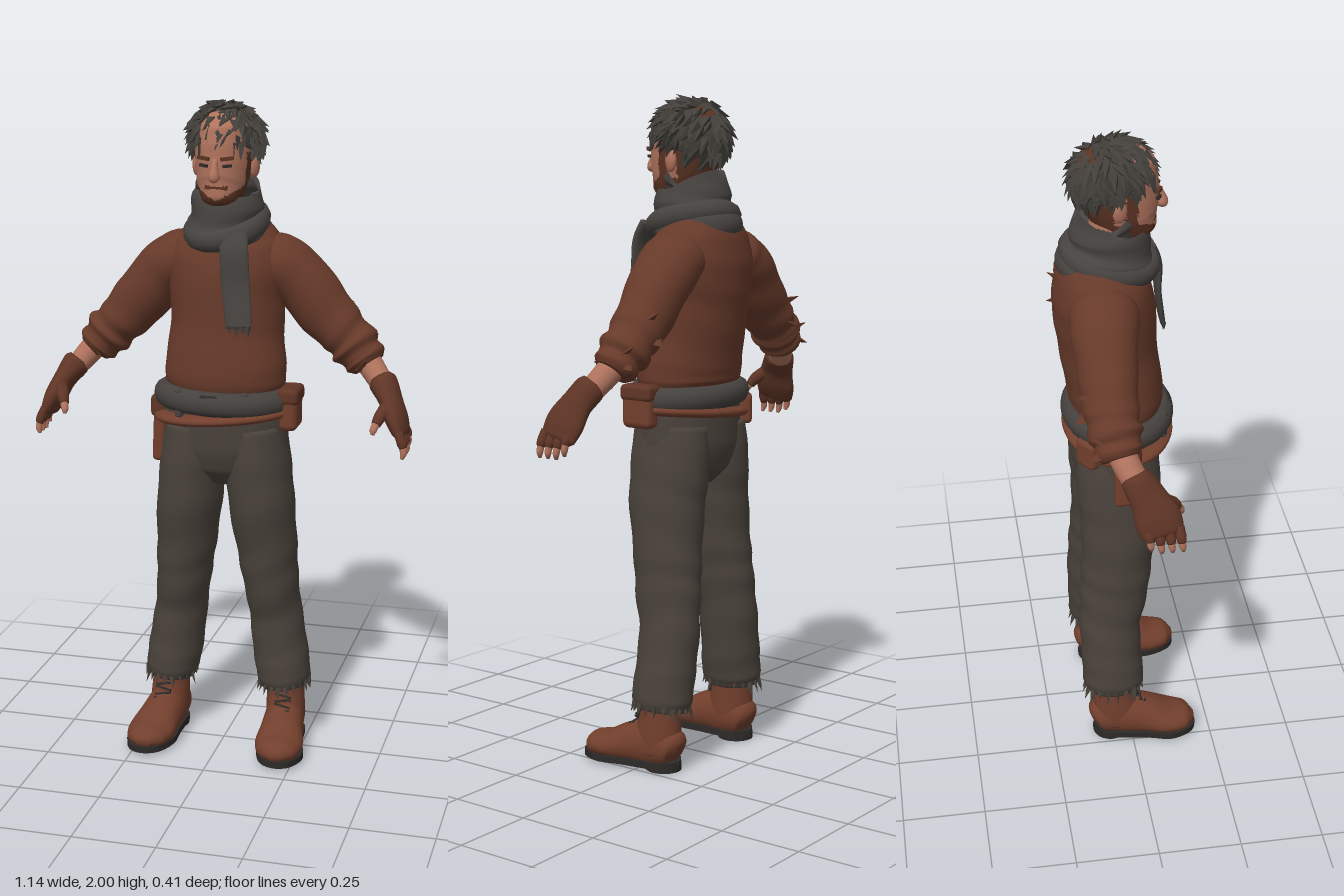
import * as THREE from 'three';
import { mergeGeometries } from 'three/addons/utils/BufferGeometryUtils.js';
import { RoundedBoxGeometry } from 'three/addons/geometries/RoundedBoxGeometry.js';

const V = (x, y, z) => new THREE.Vector3(x, y, z);
const paint = (name, color) => Object.assign(new THREE.MeshStandardMaterial({ color }), { name });

// small seeded random
let seed = 7;
const rnd = () => (seed = (seed * 16807) % 2147483647) / 2147483647;

// Smooth body through sections [x, y, z, radiusA, radiusB]; radiusB lies along ref.
function loft(sections, { ref = V(0, 0, 1), seg = 28, steps = 32, fold = 0, waves = 6, rule, isSecond } = {}) {
  const path = new THREE.CatmullRomCurve3(sections.map(s => V(s[0], s[1], s[2])));
  const size = new THREE.CatmullRomCurve3(sections.map(s => V(s[3], s[4], 0)));
  const pos = [], faces = [[], []];
  const put = p => { if (rule) rule(p); pos.push(p.x, p.y, p.z); };
  for (let i = 0; i <= steps; i++) {
    const u = i / steps, c = path.getPoint(u), t = path.getTangent(u), r = size.getPoint(u);
    const b = ref.clone().addScaledVector(t, -ref.dot(t)).normalize();
    const a = b.clone().cross(t);
    for (let j = 0; j < seg; j++) {
      const w = j / seg * Math.PI * 2;
      const k = 1 + fold * Math.sin(u * waves * 6.283 + 1.6 * Math.sin(w + u * 4)) * Math.sin(Math.PI * u);
      put(c.clone().addScaledVector(a, Math.cos(w) * r.x * k).addScaledVector(b, Math.sin(w) * r.y * k));
    }
  }
  const n = (steps + 1) * seg;
  put(path.getPoint(0)); put(path.getPoint(1));
  const tri = (...f) => {
    const m = [0, 1, 2].map(k => f.reduce((s, v) => s + pos[v * 3 + k], 0) / 3);
    faces[isSecond && isSecond(...m) ? 1 : 0].push(...f);
  };
  for (let j = 0; j < seg; j++) {
    const q = (j + 1) % seg, e = steps * seg;
    tri(n, q, j);
    tri(n + 1, e + j, e + q);
    for (let o = 0; o < e; o += seg) { tri(o + j, o + q, o + seg + j); tri(o + q, o + seg + q, o + seg + j); }
  }
  const g = new THREE.BufferGeometry();
  g.setAttribute('position', new THREE.Float32BufferAttribute(pos, 3));
  g.setIndex([...faces[0], ...faces[1]]);
  if (isSecond) { g.addGroup(0, faces[0].length, 0); g.addGroup(faces[0].length, faces[1].length, 1); }
  g.computeVertexNormals();
  return g;
}

// Flat-shaded pointed tuft, used for hair and torn cloth
function spike(p, dir, r, len) {
  const g = new THREE.ConeGeometry(r, len, 4).translate(0, len / 2, 0).scale(1, 1, 0.6);
  g.applyQuaternion(new THREE.Quaternion().setFromUnitVectors(V(0, 1, 0), dir.normalize()));
  const f = g.translate(p.x, p.y, p.z).toNonIndexed();
  f.computeVertexNormals();
  return f;
}

export function createModel() {
  const root = new THREE.Group();
  const skin = paint('skin', 0xb0735d), beardMat = paint('beard', 0x5c3323), hairMat = paint('hair', 0x43403b);
  const wool = paint('sweater wool', 0x673a2a), scarfMat = paint('scarf cloth', 0x474340), cloth = paint('trouser cloth', 0x4a423b);
  const leather = paint('boot leather', 0x723f2d), gloveMat = paint('glove leather', 0x5f3526);
  const beltMat = paint('belt', 0x45413e), dark = paint('dark rubber', 0x2d2a28);
  const add = (name, geo, mat, parent = root) => {
    const m = new THREE.Mesh(geo, mat);
    m.name = name; parent.add(m);
    return m;
  };
  const block = (name, w, h, d, x, y, z, mat, r = 0.01) => {
    const m = add(name, new RoundedBoxGeometry(w, h, d, 2, r), mat);
    m.position.set(x, y, z);
    return m;
  };

  // Head with beard and cropped nape
  add('head', loft([[0, 1.688, 0.045, 0.03, 0.035], [0, 1.705, 0.04, 0.054, 0.063], [0, 1.75, 0.018, 0.073, 0.092],
    [0, 1.8, 0, 0.081, 0.109], [0, 1.86, -0.015, 0.086, 0.118], [0, 1.92, -0.02, 0.084, 0.112],
    [0, 1.96, -0.02, 0.055, 0.075], [0, 1.972, -0.02, 0.01, 0.01]], {
    seg: 56, steps: 64,
    isSecond: (x, y, z) => {
      const ax = Math.abs(x);
      return z < -0.03 || y < 1.715 + ax * 0.55 || (ax > 0.066 && z < 0.035 && y < 1.85 && z > 0)
        || (z > 0.08 && ax < 0.035 && y > 1.748 && y < 1.758);
    },
  }), [skin, beardMat]);
  add('neck', loft([[0, 1.6, -0.05, 0.065, 0.07], [0, 1.66, -0.04, 0.06, 0.065], [0, 1.75, -0.02, 0.06, 0.07]]), skin);
  add('nose', loft([[0, 1.835, 0.1, 0.008, 0.008], [0, 1.81, 0.108, 0.011, 0.014], [0, 1.785, 0.112, 0.017, 0.02],
    [0, 1.774, 0.108, 0.01, 0.012]], { seg: 12, steps: 12 }), skin);
  for (const s of [1, -1]) {
    const ear = add('ear', new THREE.SphereGeometry(1, 14, 10), skin);
    ear.scale.set(0.013, 0.034, 0.022);
    ear.position.set(s * 0.087, 1.805, -0.018);
    ear.rotation.y = s * -0.3;
    for (const [name, y, w, h, z] of [['eye', 1.817, 0.026, 0.008, 0.1], ['eyebrow', 1.838, 0.038, 0.01, 0.1]]) {
      const m = add(name, new THREE.BoxGeometry(w, h, 0.009), name === 'eye' ? dark : beardMat);
      m.position.set(s * 0.035, y, z - (name === 'eye' ? 0.001 : 0));
      m.rotation.set(0, s * 0.42, s * 0.08);
    }
  }

  // Hair cap leaning back, covered in overlapping tufts
  const hair = new THREE.Group();
  hair.name = 'hair';
  hair.position.set(0, 1.877, -0.03);
  hair.rotation.x = -0.35;
  root.add(hair);
  const cap = new THREE.SphereGeometry(1, 32, 20, 0, Math.PI * 2, 0, Math.PI * 0.62).scale(0.1, 0.1, 0.114);
  const capMat = hairMat;
  capMat.side = THREE.DoubleSide;
  add('hairCap', cap, capMat, hair);
  const tufts = [];
  for (let i = 0; i < 150; i++) {
    const th = Math.acos(1 - 1.37 * (i + 0.5) / 150), f = i * 2.4 + rnd() * 0.3;
    const n = V(Math.sin(th) * Math.cos(f), Math.cos(th), Math.sin(th) * Math.sin(f));
    const down = V(Math.cos(th) * Math.cos(f), -Math.sin(th), Math.cos(th) * Math.sin(f));
    const side = V(-Math.sin(f), 0, Math.cos(f)).multiplyScalar(rnd() * 0.8 - 0.2);
    const p = n.clone().multiply(V(0.097, 0.097, 0.111));
    tufts.push(spike(p, n.multiplyScalar(0.4).add(down).add(side), 0.017 + rnd() * 0.008, 0.04 + rnd() * 0.02));
  }
  add('hairTufts', mergeGeometries(tufts), hairMat, hair);

  // Sweater body
  add('sweater', loft([[0, 1.14, -0.02, 0.172, 0.128], [0, 1.17, -0.02, 0.184, 0.14], [0, 1.22, -0.024, 0.183, 0.142],
    [0, 1.32, -0.04, 0.172, 0.142], [0, 1.42, -0.048, 0.174, 0.148], [0, 1.51, -0.058, 0.186, 0.146],
    [0, 1.58, -0.065, 0.165, 0.127], [0, 1.635, -0.06, 0.115, 0.1], [0, 1.67, -0.05, 0.07, 0.075]],
  { seg: 40, steps: 48, fold: 0.008 }), wool);

  // Scarf: rolled wrap, fold and hanging tail
  const wrap = add('scarfWrap', loft([[0, -0.085, 0.005, 0.1, 0.115], [0, -0.045, 0, 0.122, 0.143], [0, -0.01, 0, 0.118, 0.134],
    [0, 0.015, 0, 0.106, 0.118], [0, 0.045, -0.003, 0.108, 0.118], [0, 0.08, -0.008, 0.095, 0.102],
    [0, 0.075, -0.005, 0.08, 0.085], [0, 0.04, 0, 0.07, 0.075]], { seg: 40, steps: 48, fold: 0.03, waves: 3 }), scarfMat);
  wrap.position.set(0, 1.65, -0.04);
  wrap.rotation.x = 0.17;
  const roll = add('scarfFold', new THREE.TorusGeometry(0.105, 0.026, 10, 40), scarfMat);
  roll.scale.set(1, 1.15, 1.3);
  roll.position.set(0, 1.628, -0.035);
  roll.rotation.set(Math.PI / 2 + 0.25, 0.16, 0);
  add('scarfTail', loft([[0.05, 1.62, 0.085, 0.045, 0.02], [0.058, 1.57, 0.11, 0.043, 0.015], [0.064, 1.48, 0.115, 0.043, 0.01],
    [0.074, 1.4, 0.125, 0.041, 0.01], [0.078, 1.355, 0.133, 0.038, 0.008]], { seg: 20 }), scarfMat);
  add('scarfFringe', mergeGeometries([-0.026, -0.006, 0.012, 0.028].map((x, i) =>
    spike(V(0.078 + x, 1.362, 0.133), V(x * 0.4, -1, 0.05), 0.013, 0.026 + (i % 2) * 0.01))), scarfMat);

  // Trouser seat
  add('trouserSeat', loft([[0, 1.15, -0.02, 0.17, 0.12], [0, 1.06, -0.023, 0.19, 0.132], [0, 0.97, -0.026, 0.192, 0.13],
    [0, 0.9, -0.026, 0.15, 0.112], [0, 0.85, -0.025, 0.06, 0.07]], { seg: 36 }), cloth);

  // Belts, buckle, pouch and holster
  const band = (name, y, h, rx, rz, tilt, mat) => {
    const m = add(name, loft([[0, -h, 0, rx - 0.012, rz - 0.012], [0, -h * 0.9, 0, rx, rz], [0, h * 0.9, 0, rx, rz],
      [0, h, 0, rx - 0.012, rz - 0.012]], { seg: 44, steps: 18 }), mat);
    m.position.set(0, y, -0.015);
    m.rotation.z = tilt;
  };
  band('belt', 1.116, 0.037, 0.197, 0.147, -0.02, beltMat);
  band('hipStrap', 1.066, 0.016, 0.2, 0.145, 0.09, leather);
  block('buckle', 0.055, 0.062, 0.02, -0.012, 1.116, 0.133, dark, 0.006);
  block('buckleTongue', 0.03, 0.034, 0.024, -0.012, 1.116, 0.135, beltMat, 0.005);
  for (const x of [-0.11, 0.09]) block('beltLoop', 0.022, 0.084, 0.02, x, 1.112, 0.107, beltMat, 0.005).rotation.y = x * 4;
  block('pouch', 0.055, 0.125, 0.105, 0.207, 1.092, 0.005, leather, 0.02);
  block('pouchFlap', 0.064, 0.05, 0.112, 0.207, 1.135, 0.005, gloveMat, 0.016);
  block('holster', 0.04, 0.19, 0.075, -0.2, 0.995, -0.015, leather, 0.015).rotation.z = -0.04;
  block('holsterFlap', 0.05, 0.07, 0.085, -0.2, 1.075, -0.015, gloveMat, 0.015);
  block('rearPouch', 0.075, 0.09, 0.045, -0.15, 1.06, -0.12, leather, 0.015).rotation.y = 0.6;

  for (const s of [1, -1]) {
    const limb = (name, pts, mat, opt) => add(name, loft(pts.map(p => [p[0] * s, ...p.slice(1)]), opt), mat);

    // Sleeve with rolled cuff and torn flaps
    limb('sleeve', [[0.09, 1.55, -0.07, 0.06, 0.07], [0.145, 1.52, -0.072, 0.086, 0.1], [0.205, 1.475, -0.078, 0.088, 0.095],
      [0.28, 1.385, -0.08, 0.086, 0.083], [0.335, 1.325, -0.08, 0.077, 0.08], [0.365, 1.295, -0.078, 0.07, 0.073],
      [0.383, 1.275, -0.076, 0.08, 0.08], [0.4, 1.255, -0.073, 0.063, 0.066], [0.415, 1.238, -0.07, 0.066, 0.068],
      [0.428, 1.222, -0.066, 0.05, 0.053]], wool, { steps: 60, fold: 0.025, waves: 7 });
    const flaps = [[0.34, 1.37, -0.135], [0.33, 1.31, -0.14], [0.42, 1.28, -0.11], [0.43, 1.25, -0.11], [0.4, 1.22, -0.03]];
    add('tornCuff', mergeGeometries(flaps.map(([x, y, z], i) =>
      spike(V(x * s, y, z), V(s * 0.35, i % 2 ? -0.3 : 0.35, z < -0.05 ? -0.8 : 0.3), 0.025, 0.05))), wool);

    // Forearm, fingerless glove and fingers
    limb('forearm', [[0.39, 1.275, -0.075, 0.04, 0.042], [0.44, 1.215, -0.055, 0.038, 0.04], [0.49, 1.155, -0.02, 0.032, 0.036]], skin);
    limb('glove', [[0.468, 1.192, -0.035, 0.034, 0.038], [0.478, 1.178, -0.028, 0.042, 0.047], [0.505, 1.135, -0.002, 0.034, 0.053],
      [0.528, 1.085, 0.02, 0.032, 0.066], [0.545, 1.045, 0.032, 0.023, 0.062], [0.55, 1.033, 0.035, 0.012, 0.05]], gloveMat);
    for (let i = 0; i < 4; i++) {
      const z = -0.012 + i * 0.03, d = i === 0 ? 0.012 : 0;
      limb('gloveFinger', [[0.543, 1.06, z, 0.014, 0.015], [0.555, 1.03 + d, z + 0.005, 0.015, 0.015], [0.56, 1.015 + d, z + 0.007, 0.012, 0.012]],
        gloveMat, { seg: 12, steps: 8 });
      limb('finger', [[0.556, 1.03 + d, z + 0.004, 0.011, 0.011], [0.561, 1.0 + d, z + 0.009, 0.01, 0.01],
        [0.557, 0.983 + d, z + 0.012, 0.005, 0.005]], skin, { seg: 12, steps: 10 });
    }
    limb('gloveThumb', [[0.505, 1.13, 0.03, 0.02, 0.022], [0.487, 1.1, 0.07, 0.018, 0.019], [0.478, 1.08, 0.085, 0.014, 0.014]],
      gloveMat, { seg: 14, steps: 12 });
    limb('thumb', [[0.482, 1.09, 0.08, 0.012, 0.012], [0.473, 1.066, 0.096, 0.011, 0.011], [0.472, 1.053, 0.101, 0.005, 0.005]],
      skin, { seg: 12, steps: 10 });

    // Trouser leg with ragged hem
    limb('trouserLeg', [[0.092, 1.03, -0.025, 0.09, 0.12], [0.1, 0.92, -0.025, 0.1, 0.127], [0.112, 0.8, -0.022, 0.1, 0.122],
      [0.128, 0.64, -0.036, 0.092, 0.108], [0.138, 0.54, -0.045, 0.085, 0.106], [0.152, 0.42, -0.06, 0.081, 0.095],
      [0.168, 0.3, -0.058, 0.085, 0.094], [0.18, 0.22, -0.054, 0.083, 0.096], [0.183, 0.185, -0.053, 0.072, 0.086]],
    cloth, { steps: 56, fold: 0.02, waves: 8 });
    const hem = [];
    for (let i = 0; i < 20; i++) {
      const w = i / 20 * Math.PI * 2, c = Math.cos(w), d = Math.sin(w);
      hem.push(spike(V(s * 0.183 + c * 0.07, 0.21, -0.053 + d * 0.083), V(c * 0.35, -1, d * 0.35), 0.014, 0.03 + rnd() * 0.03));
    }
    add('raggedHem', mergeGeometries(hem), cloth);

    // Boot: shaft, foot, sole, heel and laces
    limb('bootShaft', [[0.185, 0.23, -0.055, 0.055, 0.062], [0.187, 0.16, -0.053, 0.058, 0.066], [0.189, 0.09, -0.045, 0.06, 0.075],
      [0.19, 0.05, -0.045, 0.056, 0.07]], leather);
    limb('bootFoot', [[0.187, 0.06, -0.122, 0.02, 0.025], [0.187, 0.068, -0.105, 0.052, 0.056], [0.19, 0.075, -0.03, 0.061, 0.076],
      [0.197, 0.065, 0.045, 0.066, 0.062], [0.204, 0.05, 0.115, 0.074, 0.044], [0.208, 0.046, 0.17, 0.06, 0.036],
      [0.209, 0.042, 0.2, 0.02, 0.012]], leather, { ref: V(0, 1, 0), rule: p => { p.y = Math.max(p.y, 0.015); } });
    const outline = new THREE.Shape();
    outline.moveTo(s * 0.187, 0.122);
    outline.splineThru([[0.24, 0.09], [0.25, 0.03], [0.264, -0.05], [0.28, -0.12], [0.255, -0.185], [0.209, -0.205], [0.16, -0.18],
      [0.132, -0.11], [0.134, -0.04], [0.134, 0.03], [0.138, 0.09], [0.187, 0.122]].map(([x, y]) => new THREE.Vector2(x * s, y)));
    add('sole', new THREE.ExtrudeGeometry(outline, { depth: 0.02, bevelEnabled: false, curveSegments: 4 })
      .rotateX(-Math.PI / 2).translate(0, 0.01, 0), dark);
    const heel = add('heel', new THREE.CylinderGeometry(1, 1, 0.02, 24), dark);
    heel.scale.set(0.053, 1, 0.055);
    heel.position.set(s * 0.188, 0.01, -0.065);
    for (let i = 0; i < 4; i++) {
      const lace = add('lace', new THREE.BoxGeometry(0.05, 0.007, 0.009), dark);
      lace.position.set(s * 0.193, 0.165 - i * 0.014, [0.013, 0.019, 0.027, 0.043][i]);
      lace.rotation.set(-0.5, 0, s * (i % 2 ? 0.2 : -0.2));
    }
  }
  return root;
}
